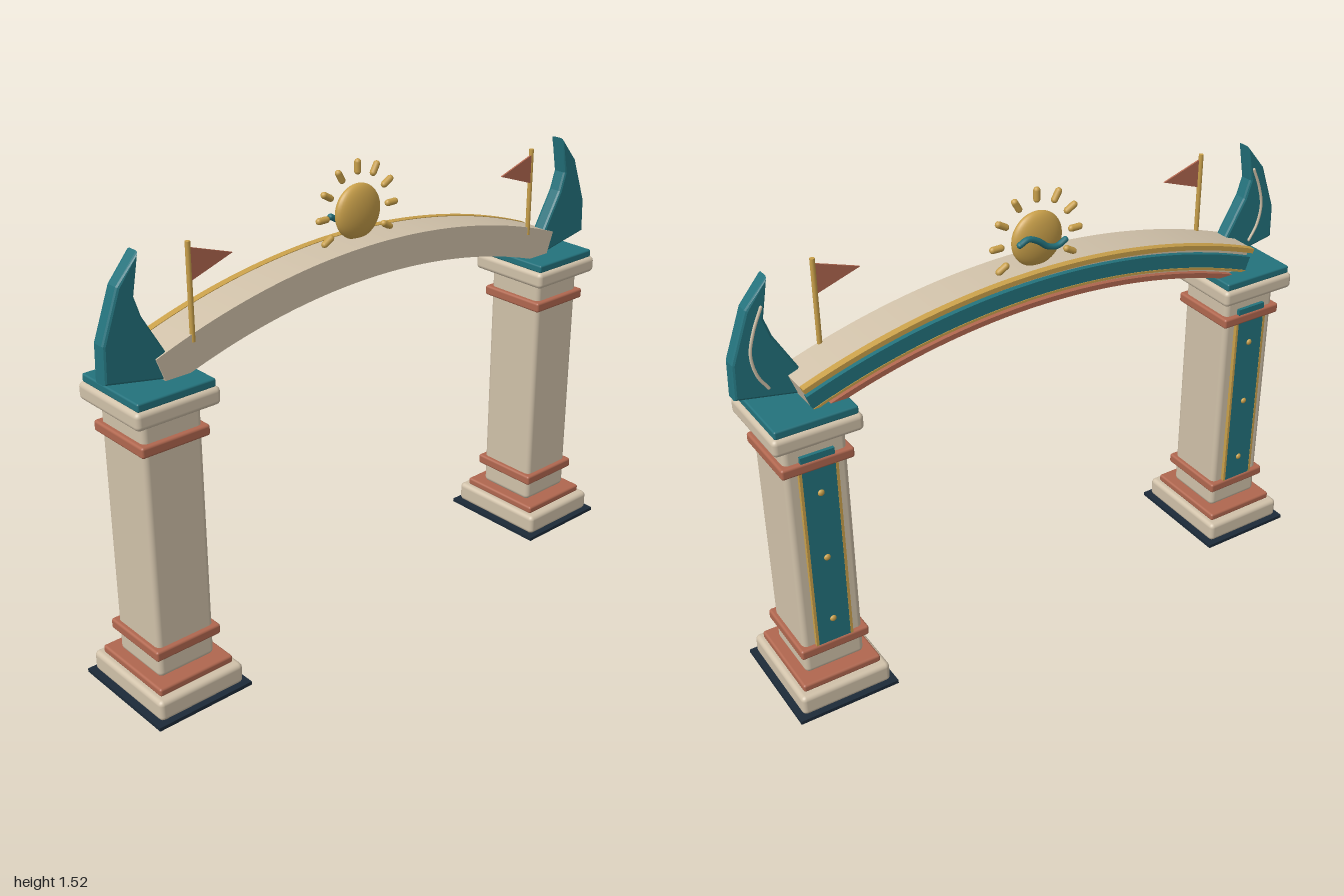
import * as THREE from 'three';
import { RoundedBoxGeometry } from 'three/addons/geometries/RoundedBoxGeometry.js';

const material = (name, color, side = THREE.FrontSide) => {
  const m = new THREE.MeshStandardMaterial({ color, side });
  m.name = name;
  return m;
};

export function createModel() {
  const sand = material('sandstone', 0xd0c1a9);
  const clay = material('terracotta', 0xb0674f);
  const teal = material('teal', 0x23727c);
  const gold = material('gold', 0xc9a04a);
  const navy = material('navy', 0x1c2a38);

  const model = new THREE.Group();
  model.name = 'archGateway';

  function add(parent, name, geometry, mat, x = 0, y = 0, z = 0) {
    const mesh = new THREE.Mesh(geometry, mat);
    mesh.name = name;
    mesh.position.set(x, y, z);
    parent.add(mesh);
    return mesh;
  }

  // Rounded block given by its bottom and top heights
  function block(parent, name, w, d, y0, y1, radius, mat, z = 0) {
    return add(parent, name, new RoundedBoxGeometry(w, y1 - y0, d, 3, radius), mat, 0, (y0 + y1) / 2, z);
  }

  function tube(parent, name, points, radius, mat) {
    const curve = new THREE.CatmullRomCurve3(points.map(p => new THREE.Vector3(...p)));
    const mesh = add(parent, name, new THREE.TubeGeometry(curve, 32, radius, 8), mat);
    for (const p of [points[0], points[points.length - 1]])
      add(parent, name + 'End', new THREE.SphereGeometry(radius, 8, 6), mat, ...p);
    return mesh;
  }

  // Pillars
  function pillar(side) {
    const g = new THREE.Group();
    g.name = side > 0 ? 'leftPillar' : 'rightPillar';
    g.position.x = side * 0.82;
    add(g, 'groundPlate', new THREE.BoxGeometry(0.345, 0.012, 0.4), navy, 0, 0.006, 0);
    block(g, 'plinth', 0.31, 0.37, 0.011, 0.082, 0.016, sand);
    block(g, 'plinthStep', 0.27, 0.315, 0.08, 0.107, 0.008, clay);
    block(g, 'shaft', 0.205, 0.22, 0.105, 0.985, 0.018, sand);
    block(g, 'lowerBand', 0.235, 0.252, 0.18, 0.215, 0.008, clay);
    block(g, 'upperBand', 0.235, 0.252, 0.865, 0.9, 0.008, clay);
    block(g, 'capital', 0.288, 0.306, 0.965, 1.022, 0.016, sand);
    block(g, 'capSlab', 0.265, 0.285, 1.02, 1.047, 0.006, teal);

    // Decorated back panel with gold edges and studs
    add(g, 'backPanel', new THREE.BoxGeometry(0.11, 0.72, 0.016), teal, 0, 0.56, -0.114);
    for (const s of [-1, 1])
      add(g, 'panelEdge', new THREE.BoxGeometry(0.009, 0.68, 0.016), gold, s * 0.059, 0.55, -0.115);
    for (const y of [0.3, 0.54, 0.78]) {
      const stud = add(g, 'panelStud', new THREE.SphereGeometry(0.011, 12, 8), gold, 0, y, -0.122);
      stud.scale.z = 0.7;
    }
    model.add(g);
  }

  // Arch bands share one centre and are cut off radially at both ends
  const centreY = -1.118, half = 0.356;
  function archBand(name, rIn, rOut, z0, z1, mat) {
    const a0 = Math.PI / 2 - half, a1 = Math.PI / 2 + half;
    const shape = new THREE.Shape();
    shape.absarc(0, centreY, rOut, a0, a1, false);
    shape.absarc(0, centreY, rIn, a1, a0, true);
    shape.closePath();
    const geo = new THREE.ExtrudeGeometry(shape, { depth: z1 - z0, bevelEnabled: false, curveSegments: 48 });
    add(model, name, geo, mat, 0, 0, z0);
  }
  archBand('archBeam', 2.281, 2.388, -0.07, 0.065, sand);
  archBand('archPanel', 2.311, 2.358, -0.088, -0.069, teal);
  archBand('archTopTrim', 2.374, 2.39, -0.094, -0.069, gold);
  archBand('archPanelTrim', 2.303, 2.311, -0.09, -0.069, gold);
  archBand('archLowerTrim', 2.274, 2.291, -0.088, -0.069, clay);

  // Swept horns at the arch ends
  function horn(side) {
    const outline = [[0.868, 1.435], [0.93, 1.355], [0.987, 1.2], [0.991, 1.093],
      [0.80, 1.056], [0.795, 1.12], [0.872, 1.255], [0.893, 1.32]];
    const shape = new THREE.Shape(outline.map(([x, y]) => new THREE.Vector2(side * x, y)));
    const geo = new THREE.ExtrudeGeometry(shape, {
      depth: 0.032, bevelThickness: 0.01, bevelSize: 0.008, bevelSegments: 2,
    });
    add(model, 'horn', geo, teal, 0, 0, 0.018);
    tube(model, 'hornInlay', [[0.892, 1.36], [0.922, 1.29], [0.938, 1.22], [0.925, 1.15], [0.895, 1.1]]
      .map(([x, y]) => [side * x, y, 0.006]), 0.005, sand);
  }

  // Pennants, both pointing to the middle
  const flagMat = material('pennant terracotta', 0xb0674f, THREE.DoubleSide);
  function pennant(side) {
    add(model, 'flagPole', new THREE.CylinderGeometry(0.008, 0.008, 0.3, 12), gold, side * 0.703, 1.288, 0.06);
    const shape = new THREE.Shape([[0.7, 1.42], [0.555, 1.372], [0.7, 1.322]]
      .map(([x, y]) => new THREE.Vector2(side * x, y)));
    add(model, 'flag', new THREE.ExtrudeGeometry(shape, { depth: 0.006, bevelEnabled: false }),
      flagMat, 0, 0, 0.06);
  }

  for (const side of [-1, 1]) {
    pillar(side);
    horn(side);
    pennant(side);
  }

  // Sun with nine rays and a wave across its back
  const sun = new THREE.Group();
  sun.name = 'sun';
  sun.position.set(0, 1.352, -0.026);
  add(sun, 'sunDisc', new THREE.SphereGeometry(0.09, 40, 24), gold).scale.z = 0.37;
  for (let i = 0; i < 9; i++) {
    const a = (-30 + i * 30) * Math.PI / 180;
    const ray = add(sun, 'sunRay', new THREE.CapsuleGeometry(0.011, 0.029, 4, 10), gold,
      Math.cos(a) * 0.143, Math.sin(a) * 0.143, 0);
    ray.rotation.z = a - Math.PI / 2;
  }
  tube(sun, 'sunWave', [[0.085, 0.012, -0.037], [0.055, 0.024, -0.037], [0.02, 0.01, -0.037],
    [-0.015, -0.016, -0.037], [-0.05, -0.024, -0.037], [-0.08, -0.01, -0.037]], 0.01, teal);
  model.add(sun);

  return model;
}
